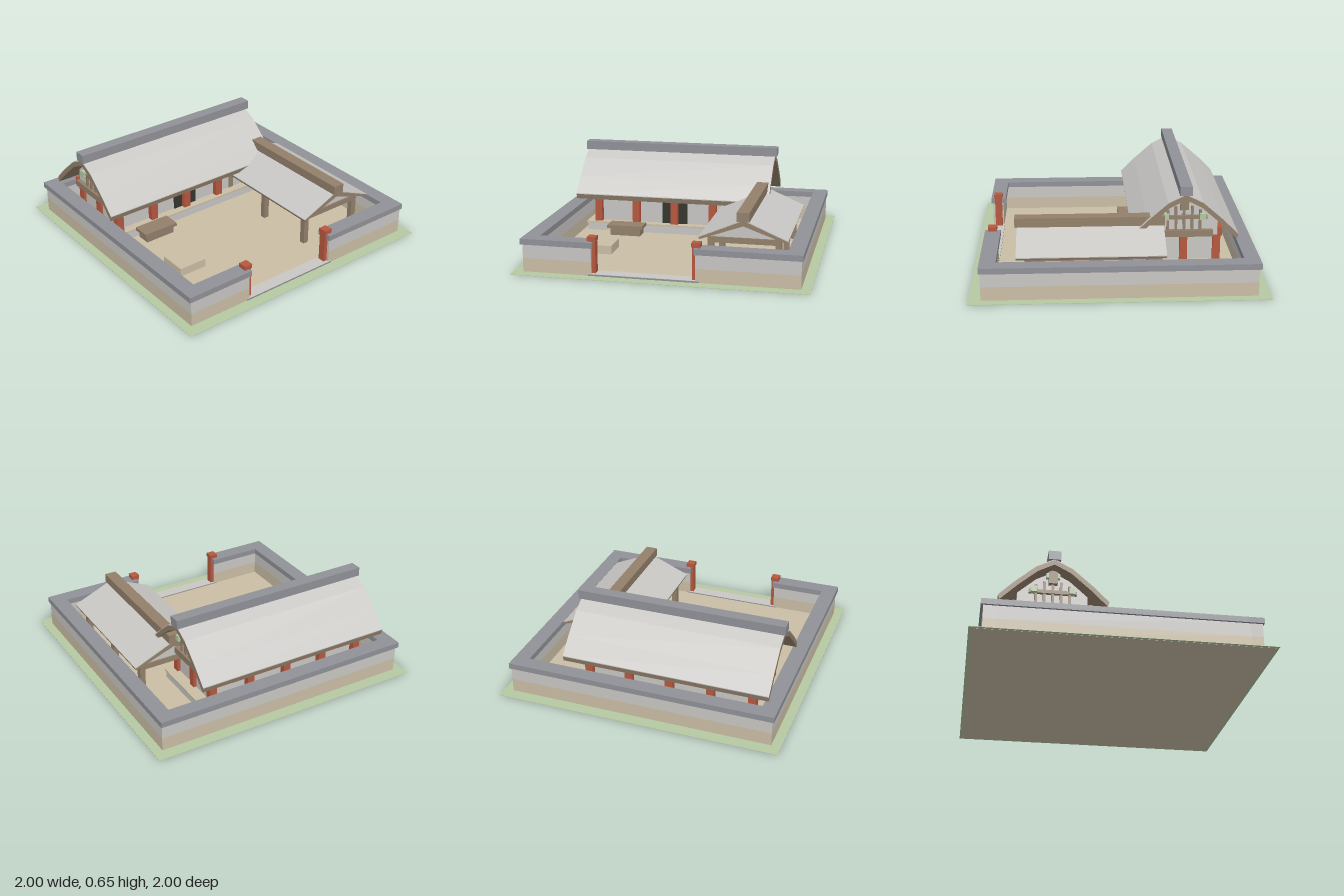
import * as THREE from 'three';

const mat = (name, color) => {
  const m = new THREE.MeshStandardMaterial({ color });
  m.name = name;
  return m;
};

export function createModel() {
  const M = {
    grass: mat('grass', 0xb6c8a2),
    sand: mat('sand', 0xcabea5),
    plaster: mat('plaster', 0xc9c7c4),
    slate: mat('slate', 0x919298),
    wood: mat('wood', 0x93806b),
    red: mat('red paint', 0xb6583f),
    dark: mat('dark door', 0x35352f),
    green: mat('green bracket', 0xb4c8a4),
  };
  const root = new THREE.Group();
  const group = (name) => {
    const g = new THREE.Group();
    g.name = name;
    root.add(g);
    return g;
  };
  const add = (parent, name, geo, material) => {
    const mesh = new THREE.Mesh(geo, material);
    mesh.name = name;
    parent.add(mesh);
    return mesh;
  };
  // Box given by its minimum and maximum on each axis
  const box = (parent, name, material, x0, x1, y0, y1, z0, z1) => {
    const mesh = add(parent, name, new THREE.BoxGeometry(x1 - x0, y1 - y0, z1 - z0), material);
    mesh.position.set((x0 + x1) / 2, (y0 + y1) / 2, (z0 + z1) / 2);
    return mesh;
  };
  const extrude = (pts, depth) =>
    new THREE.ExtrudeGeometry(new THREE.Shape(pts.map(([x, y]) => new THREE.Vector2(x, y))), { depth, bevelEnabled: false });
  // Mirrors a half profile (ridge first) and closes it with a second, lower one
  const mirrored = (top, low) => {
    const both = (p) => [...p.slice(1).reverse().map(([x, y]) => [-x, y]), ...p];
    return [...both(low), ...both(top).reverse()];
  };
  const gableRoof = (parent, top, low, length) => {
    add(parent, 'roofTimber', extrude(mirrored(top, low), length), M.wood);
    const raised = top.map(([x, y]) => [x, y + 0.006]);
    add(parent, 'roofCovering', extrude(mirrored(raised, top), length), M.plaster);
  };

  // Ground
  const ground = group('ground');
  box(ground, 'grass', M.grass, -1, 1, 0.001, 0.003, -1, 1);
  box(ground, 'underside', M.sand, -0.98, 0.98, 0, 0.001, -0.98, 0.98);
  box(ground, 'courtyard', M.sand, -0.9, 0.9, 0.003, 0.007, -0.9, 0.9);
  box(ground, 'gateThreshold', M.slate, -0.48, 0.27, 0.003, 0.014, 0.83, 0.92);
  box(ground, 'gatePaving', M.plaster, -0.48, 0.27, 0.014, 0.016, 0.83, 0.92);

  // Perimeter wall: sand base, plaster top and slate coping
  const walls = group('perimeterWall');
  const runs = [
    [-0.935, 0.935, -0.915, -0.835],
    [-0.935, -0.855, -0.835, 0.835],
    [0.855, 0.935, -0.835, 0.835],
    [-0.935, -0.46, 0.835, 0.915],
    [0.245, 0.935, 0.835, 0.915],
  ];
  for (const [x0, x1, z0, z1] of runs) {
    box(walls, 'wallBase', M.sand, x0, x1, 0.003, 0.097, z0, z1);
    box(walls, 'wallTop', M.plaster, x0, x1, 0.097, 0.195, z0, z1);
  }
  const copings = [
    [-0.95, 0.945, -0.93, -0.825],
    [-0.95, -0.842, -0.825, 0.815],
    [0.838, 0.945, -0.825, 0.815],
    [-0.95, -0.45, 0.815, 0.925],
    [0.235, 0.945, 0.815, 0.925],
  ];
  for (const [x0, x1, z0, z1] of copings) box(walls, 'coping', M.slate, x0, x1, 0.192, 0.232, z0, z1);

  // Gate posts
  const gate = group('gatePosts');
  for (const x of [-0.46, 0.245]) {
    box(gate, 'gatePost', M.red, x - 0.026, x + 0.026, 0.003, 0.236, 0.845, 0.897);
    box(gate, 'gatePostCap', M.red, x - 0.03, x + 0.03, 0.236, 0.265, 0.84, 0.902);
  }

  // Main hall body on its platform
  const hall = group('mainHall');
  const HZ = -0.46;
  box(hall, 'platform', M.plaster, -0.82, 0.52, 0.003, 0.062, -0.74, -0.185);
  box(hall, 'platformFloor', M.sand, -0.83, 0.53, 0.062, 0.075, -0.75, -0.18);
  box(hall, 'hallWalls', M.plaster, -0.745, 0.445, 0.075, 0.3, -0.675, -0.245);
  for (const x of [-0.74, -0.445, -0.15, 0.145, 0.44])
    for (const z of [-0.23, -0.69]) box(hall, 'hallPost', M.red, x - 0.027, x + 0.027, 0.075, 0.3, z - 0.027, z + 0.027);
  for (const x of [-0.74, 0.44]) box(hall, 'endPost', M.red, x - 0.027, x + 0.027, 0.075, 0.3, HZ - 0.027, HZ + 0.027);
  for (const z of [-0.21, -0.71]) box(hall, 'eavesBeam', M.red, -0.79, 0.49, 0.258, 0.32, z - 0.013, z + 0.013);
  for (const s of [-1, 1]) {
    const x = -0.15 + s * 0.06;
    box(hall, 'door', M.dark, x - 0.037, x + 0.037, 0.075, 0.237, -0.245, -0.236);
  }

  // Main hall roof, its profile running across z
  const hallRoof = new THREE.Group();
  hallRoof.name = 'hallRoof';
  hallRoof.position.set(-0.88, 0, HZ);
  hallRoof.rotation.y = Math.PI / 2;
  hall.add(hallRoof);
  const hallTop = [[0, 0.59], [0.12, 0.53], [0.26, 0.407], [0.363, 0.303]];
  const hallLow = [[0, 0.555], [0.11, 0.497], [0.24, 0.382], [0.355, 0.268]];
  gableRoof(hallRoof, hallTop, hallLow, 1.46);
  box(hall, 'hallRidge', M.slate, -0.89, 0.595, 0.588, 0.652, HZ - 0.042, HZ + 0.042);

  // Timbered gables at both ends
  const gable = [[-0.235, 0.26], [0.235, 0.26], [0.235, 0.385], [0.11, 0.498], [0, 0.556], [-0.11, 0.498], [-0.235, 0.385]];
  for (const s of [-1, 1]) {
    const end = new THREE.Group();
    end.name = 'gableEnd';
    end.position.set(-0.15 + s * 0.6, 0, HZ);
    end.rotation.y = s * Math.PI / 2;
    hall.add(end);
    add(end, 'gablePanel', extrude(gable, 0.02), M.plaster);
    box(end, 'tieBeam', M.wood, -0.24, 0.2, 0.258, 0.305, 0, 0.05);
    box(end, 'middleRail', M.wood, -0.16, 0.16, 0.385, 0.41, 0, 0.042);
    for (const i of [-2, -1, 0, 1, 2]) {
      const x = i * 0.056;
      box(end, 'stud', M.wood, x - 0.009, x + 0.009, 0.3, 0.5 - Math.abs(i) * 0.025, 0, 0.036);
    }
    box(end, 'kingBlock', M.wood, -0.03, 0.03, 0.455, 0.55, 0, 0.055);
    for (const m of [-1, 1]) {
      box(end, 'greenBracket', M.green, m * 0.128 - 0.021, m * 0.128 + 0.021, 0.385, 0.427, 0, 0.06);
      box(end, 'smallBracket', M.green, m * 0.034 - 0.012, m * 0.034 + 0.012, 0.5, 0.54, 0, 0.048);
    }
  }

  // Side pavilion: posts, beams, gables and roof
  const side = group('sidePavilion');
  const SX = 0.52;
  const shed = new THREE.Group();
  shed.name = 'pavilionRoof';
  shed.position.set(SX, 0, -0.315);
  side.add(shed);
  gableRoof(shed, [[0, 0.374], [0.3, 0.246]], [[0, 0.336], [0.295, 0.232]], 1.0);
  box(side, 'pavilionRidge', M.wood, SX - 0.042, SX + 0.042, 0.368, 0.432, -0.32, 0.7);
  for (const z of [-0.28, 0.6]) {
    const panel = add(side, 'pavilionGable', extrude([[-0.27, 0.238], [0.27, 0.238], [0, 0.338]], 0.02), M.plaster);
    panel.position.set(SX, 0, z);
    box(side, 'crossBeam', M.wood, SX - 0.25, SX + 0.25, 0.2, 0.24, z - 0.01, z + 0.03);
  }
  for (const x of [SX - 0.23, SX + 0.23]) {
    box(side, 'sideBeam', M.wood, x - 0.018, x + 0.018, 0.205, 0.24, -0.28, 0.6);
    for (const z of [-0.26, 0.17, 0.61]) box(side, 'pavilionPost', M.wood, x - 0.02, x + 0.02, 0.007, 0.21, z - 0.02, z + 0.02);
  }

  // Courtyard table and plinth
  const yard = group('courtyardFurniture');
  box(yard, 'tableBody', M.wood, -0.61, -0.38, 0.007, 0.062, -0.165, -0.065);
  box(yard, 'tableTop', M.wood, -0.63, -0.36, 0.062, 0.086, -0.18, -0.05);
  box(yard, 'plinth', M.sand, -0.67, -0.46, 0.007, 0.068, 0.23, 0.43);

  return root;
}
